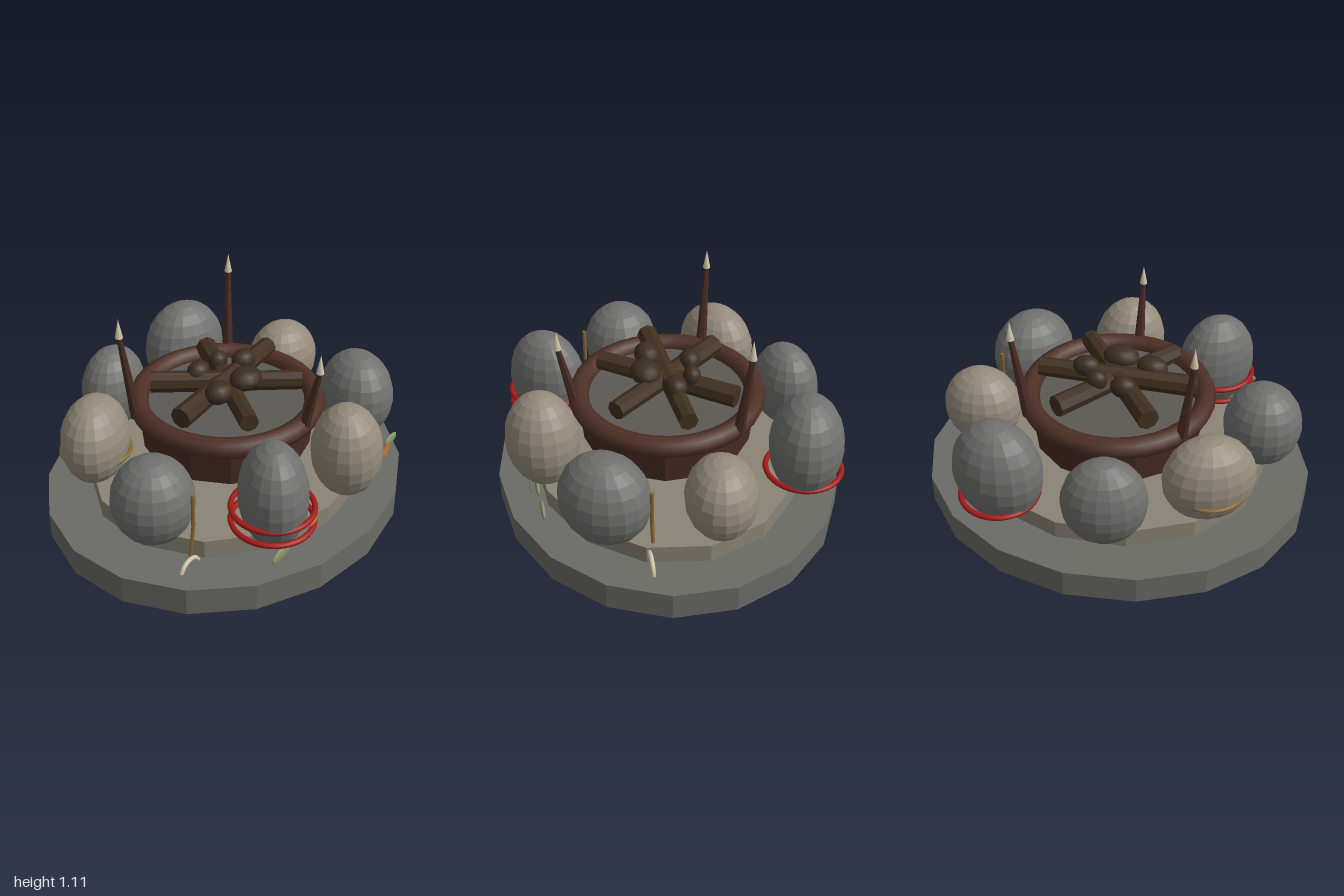
import * as THREE from 'three';

const mat = (color, extra = {}) => new THREE.MeshStandardMaterial({ color, ...extra });
const flat = (color) => mat(color, { flatShading: true });

const M = {
  base: flat(0x6b6c66), tier: flat(0x8b8475), stone: flat(0x70716f), paleStone: flat(0x958b7b),
  wood: flat(0x4a2d24), rim: mat(0x4f3026), ash: flat(0x5c5955), log: flat(0x40301f),
  coal: mat(0x3c2d20), red: mat(0xa81a18), gold: mat(0x8a6a34), bone: mat(0xd0c7a8),
  leaf: mat(0x87946a), ember: mat(0xcc7722, { side: THREE.DoubleSide }),
};

export function createModel() {
  const model = new THREE.Group();

  function add(name, geometry, material, x = 0, y = 0, z = 0, parent = model) {
    const mesh = new THREE.Mesh(geometry, material);
    mesh.name = name;
    mesh.position.set(x, y, z);
    parent.add(mesh);
    return mesh;
  }

  // Tapered cylinder running from point a to point b
  function rod(name, a, b, ra, rb, sides, material, parent = model) {
    const p = new THREE.Vector3(...a), q = new THREE.Vector3(...b);
    const dir = q.clone().sub(p);
    const mesh = add(name, new THREE.CylinderGeometry(rb, ra, dir.length(), sides), material, 0, 0, 0, parent);
    mesh.position.copy(p).add(q).multiplyScalar(0.5);
    mesh.quaternion.setFromUnitVectors(new THREE.Vector3(0, 1, 0), dir.normalize());
    return mesh;
  }

  // Horizontal ring
  function ring(name, r, tube, material, x, y, z) {
    const mesh = add(name, new THREE.TorusGeometry(r, tube, 8, 36), material, x, y, z);
    mesh.rotation.x = Math.PI / 2;
    return mesh;
  }

  // Oval faceted slabs
  const base = add('baseSlab', new THREE.CylinderGeometry(1, 1, 0.145, 18), M.base, 0, 0.0725, 0);
  base.geometry.rotateY(Math.PI / 2 - Math.PI * 92 / 180);
  base.geometry.rotateY(Math.PI * 10 / 180 - Math.PI * 10 / 180);
  base.scale.z = 0.88;
  const tier = add('upperSlab', new THREE.CylinderGeometry(0.78, 0.78, 0.095, 14), M.tier, 0.02, 0.1925, 0.01);
  tier.geometry.rotateY(-0.15);
  tier.scale.z = 0.87;

  // Fire bowl on a narrow foot
  add('bowlFoot', new THREE.CylinderGeometry(0.28, 0.28, 0.11, 14), M.wood, 0, 0.29, 0);
  add('bowlWall', new THREE.CylinderGeometry(0.45, 0.43, 0.21, 14), M.wood, 0, 0.445, 0);
  add('ashBed', new THREE.CylinderGeometry(0.42, 0.42, 0.02, 24), M.ash, 0, 0.55, 0);
  ring('bowlRim', 0.445, 0.052, M.rim, 0, 0.565, 0);

  // Crossed logs
  const logs = [
    [[-0.4, 0.66, 0.02], [0.4, 0.67, -0.02]],
    [[-0.23, 0.66, -0.3], [0.23, 0.66, 0.3]],
    [[0.23, 0.65, -0.3], [-0.23, 0.65, 0.3]],
  ];
  for (const [a, b] of logs) rod('log', a, b, 0.055, 0.048, 8, M.log);

  // Lumps of coal: x, y, z, horizontal radius
  const coals = [
    [-0.06, 0.7, -0.13, 0.066], [0.08, 0.7, -0.11, 0.055], [0.16, 0.705, -0.01, 0.07],
    [-0.16, 0.7, 0.07, 0.08], [0.01, 0.71, 0.11, 0.093],
  ];
  for (const [x, y, z, r] of coals) {
    add('coal', new THREE.SphereGeometry(r, 12, 8), M.coal, x, y, z).scale.set(1, 0.055 / r, 0.82);
  }

  // Stakes with bone points
  const stakes = [
    [[-0.385, 0.55, -0.27], [-0.437, 1.01, -0.305]],
    [[0.385, 0.55, -0.27], [0.437, 1.01, -0.305]],
    [[0, 0.55, 0.46], [0, 0.9, 0.535]],
  ];
  for (const [a, b] of stakes) {
    const stake = new THREE.Group();
    stake.name = 'stake';
    model.add(stake);
    rod('stakeShaft', a, b, 0.03, 0.013, 7, M.wood, stake);
    add('stakePoint', new THREE.ConeGeometry(0.02, 0.1, 7), M.bone, b[0], b[1] + 0.045, b[2], stake);
  }

  // Ring of boulders: x, y, z, radii, yaw, sideways lean, material
  const boulders = [
    [-0.73, 0.43, 0.11, 0.2, 0.222, 0.2, 0, 0, M.stone],
    [-0.41, 0.465, 0.56, 0.215, 0.265, 0.165, 0.78, 0, M.stone],
    [0.1, 0.455, 0.65, 0.195, 0.25, 0.178, 0.6, 0.1, M.paleStone],
    [0.59, 0.445, 0.42, 0.23, 0.235, 0.19, 0.9, 0, M.stone],
    [0.69, 0.44, -0.11, 0.204, 0.208, 0.174, -0.15, 0, M.paleStone],
    [0.43, 0.465, -0.605, 0.235, 0.265, 0.185, -0.3, 0, M.stone],
    [-0.11, 0.44, -0.665, 0.206, 0.23, 0.16, 0.25, 0, M.stone],
    [-0.55, 0.46, -0.4, 0.23, 0.222, 0.17, 0.5, 0, M.paleStone],
  ];
  for (const [x, y, z, rx, ry, rz, yaw, lean, material] of boulders) {
    const stone = add('boulder', new THREE.SphereGeometry(1, 18, 12), material, x, y, z);
    stone.scale.set(rx, ry, rz);
    stone.rotation.set(0, yaw, lean, 'ZYX');
  }

  // Cords tied around boulders
  ring('redCord', 0.195, 0.014, M.red, -0.41, 0.32, 0.56);
  ring('redCord', 0.195, 0.014, M.red, -0.41, 0.395, 0.56);
  ring('redCord', 0.188, 0.014, M.red, 0.43, 0.32, -0.6);
  ring('tanCord', 0.172, 0.011, M.gold, -0.55, 0.4, -0.4);

  // Mirrored diamond charms and bent hanging strands
  for (const side of [-1, 1]) {
    add('diamondCharm', new THREE.CircleGeometry(0.05, 4), M.ember, side * 0.348, 0.35, 0.745).scale.x = 0.68;
    const z = side < 0 ? 0.32 : 0.22;
    const bend = [side * 0.7, 0.35, z];
    rod('strand', [side * 0.7, 0.53, z], bend, 0.01, 0.01, 6, M.gold);
    rod('strand', bend, [side * 0.728, 0.18, z], 0.01, 0.008, 6, M.gold);
  }

  // Curved bones lying on the slab
  for (const [x, y, z] of [[-0.745, 0.12, 0.33], [0.785, 0.16, 0.245]]) {
    add('curvedBone', new THREE.TorusGeometry(0.066, 0.011, 8, 16, Math.PI), M.bone, x, y, z);
  }

  // Flat leaves
  for (const [x, y, z, rx, ry] of [[-0.545, 0.27, 0.7, 0.075, 0.035], [0.18, 0.205, 0.7, 0.055, 0.025], [0.475, 0.32, 0.7, 0.062, 0.03]]) {
    add('leaf', new THREE.SphereGeometry(1, 14, 8), M.leaf, x, y, z).scale.set(rx, ry, 0.011);
  }

  return model;
}
